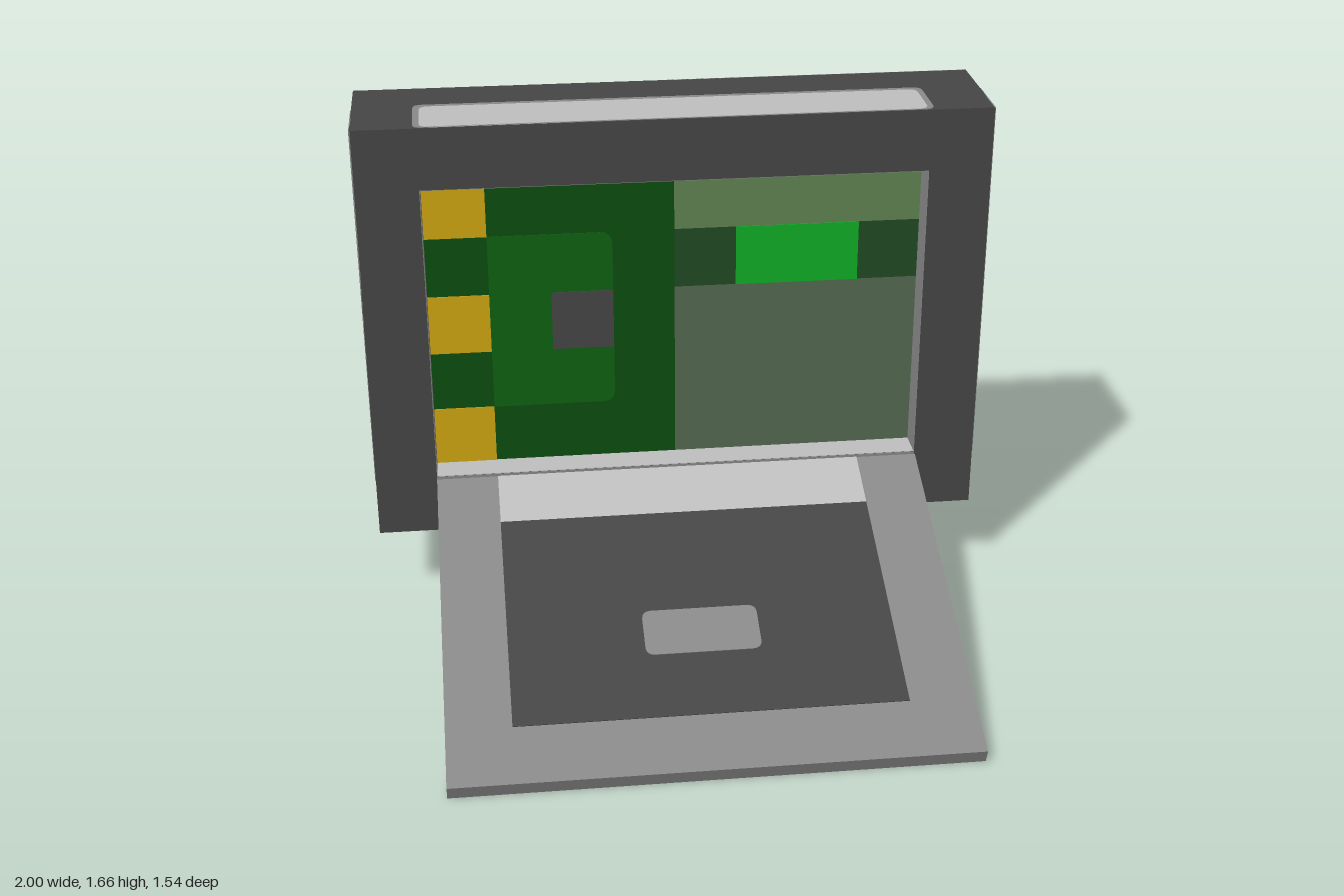
import * as THREE from 'three';

const paint = (name, color) => {
  const m = new THREE.MeshStandardMaterial({ color });
  m.name = name;
  return m;
};

export function createModel() {
  const dark = paint('dark grey', 0x464646);
  const mid = paint('mid grey', 0x8a8a8a);
  const light = paint('light grey', 0xbfbfbf);
  const boardGreen = paint('board green', 0x0e4e10);
  const chipGreen = paint('chip green', 0x0e6311);
  const gold = paint('gold', 0xd0a812);
  const paleGreen = paint('pale green', 0x608552);
  const greyGreen = paint('grey green', 0x546a51);
  const deepGreen = paint('deep green', 0x214c25);
  const brightGreen = paint('bright green', 0x10b026);

  const model = new THREE.Group();
  model.name = 'deviceWithOpenHatch';

  const add = (parent, name, geometry, material) => {
    const mesh = new THREE.Mesh(geometry, material);
    mesh.name = name;
    parent.add(mesh);
    return mesh;
  };

  const box = (parent, name, material, w, h, d, x, y, z) => {
    const mesh = add(parent, name, new THREE.BoxGeometry(w, h, d), material);
    mesh.position.set(x, y, z);
    return mesh;
  };

  // Thin plate in local x/y facing +z; r = corner radii [bottom left, bottom right, top right, top left]
  const plate = (parent, name, material, x0, y0, x1, y1, r = [0, 0, 0, 0]) => {
    const s = new THREE.Shape();
    s.moveTo(x0 + r[0], y0);
    s.lineTo(x1 - r[1], y0);
    if (r[1]) s.quadraticCurveTo(x1, y0, x1, y0 + r[1]);
    s.lineTo(x1, y1 - r[2]);
    if (r[2]) s.quadraticCurveTo(x1, y1, x1 - r[2], y1);
    s.lineTo(x0 + r[3], y1);
    if (r[3]) s.quadraticCurveTo(x0, y1, x0, y1 - r[3]);
    s.lineTo(x0, y0 + r[0]);
    if (r[0]) s.quadraticCurveTo(x0, y0, x0 + r[0], y0);
    const geometry = new THREE.ExtrudeGeometry(s, { depth: 0.004, bevelEnabled: false, curveSegments: 4 });
    return add(parent, name, geometry, material);
  };

  // Housing: solid back and a front frame with the window opening
  box(model, 'housingBack', dark, 2, 1.4, 0.3, 0, 0.96, -0.62);
  const frame = new THREE.Shape([[-1, 0.26], [1, 0.26], [1, 1.66], [-1, 1.66]].map(p => new THREE.Vector2(...p)));
  frame.holes.push(new THREE.Path([[-0.8, 0.46], [-0.8, 1.46], [0.8, 1.46], [0.8, 0.46]].map(p => new THREE.Vector2(...p))));
  add(model, 'frontFrame', new THREE.ExtrudeGeometry(frame, { depth: 0.1, bevelEnabled: false }), dark).position.z = -0.47;

  // Lining of the window recess
  const floor = plate(model, 'recessFloor', light, -0.8, 0.371, 0.8, 0.47);
  floor.rotation.x = -Math.PI / 2;
  floor.position.y = 0.458;
  const ceiling = plate(model, 'recessCeiling', mid, -0.8, -0.47, 0.8, -0.371);
  ceiling.rotation.x = Math.PI / 2;
  ceiling.position.y = 1.462;
  for (const side of [-1, 1]) {
    box(model, 'recessSide', mid, 0.004, 1, 0.099, side * 0.8, 0.96, -0.4205);
  }

  // Circuit board tiles: x0, y0, x1, y1, layer, corner radii
  const board = new THREE.Group();
  board.name = 'circuitBoard';
  board.position.z = -0.472;
  model.add(board);
  const tiles = [
    ['boardBase', boardGreen, -0.8, 0.46, 0, 1.46, 0],
    ['chipArea', chipGreen, -0.6, 0.66, -0.2, 1.26, 1, [0, 0.04, 0.04, 0]],
    ['chip', dark, -0.4, 0.86, -0.2, 1.06, 2],
    ['screenTop', paleGreen, 0, 1.26, 0.8, 1.46, 0],
    ['screenBand', deepGreen, 0, 1.06, 0.8, 1.26, 0],
    ['screenBottom', greyGreen, 0, 0.46, 0.8, 1.06, 0],
    ['indicator', brightGreen, 0.2, 1.06, 0.6, 1.26, 1],
  ];
  for (const y of [0.46, 0.86, 1.26]) tiles.push(['contact', gold, -0.8, y, -0.6, y + 0.2, 1]);
  for (const [name, material, x0, y0, x1, y1, layer, r] of tiles) {
    plate(board, name, material, x0, y0, x1, y1, r).position.z = layer * 0.003;
  }

  // Panels on the outside of the housing
  const R = 0.03;
  const back = plate(model, 'backPanel', mid, -1, 0.46, 0, 1.66, [0, R, 0, 0]);
  back.rotation.y = Math.PI;
  back.position.z = -0.768;
  const leftPanel = plate(model, 'leftSidePanel', mid, 0.37, 0.455, 0.57, 1.66, [0, R, 0, 0]);
  leftPanel.rotation.y = Math.PI / 2;
  leftPanel.position.x = 0.998;
  const rightPanel = plate(model, 'rightSidePanel', mid, -0.57, 0.455, -0.37, 1.66, [R, 0, 0, 0]);
  rightPanel.rotation.y = -Math.PI / 2;
  rightPanel.position.x = -0.998;
  const topBorder = plate(model, 'topBorder', mid, -0.81, 0.375, 0.81, 0.595, [R, R, R, R]);
  topBorder.rotation.x = -Math.PI / 2;
  topBorder.position.y = 1.658;
  const topPanel = plate(model, 'topPanel', light, -0.79, 0.375, 0.79, 0.57, [R, R, R, R]);
  topPanel.rotation.x = -Math.PI / 2;
  topPanel.position.y = 1.66;
  plate(model, 'hingePanel', mid, -0.8, 0.26, 0.8, 0.46).position.z = -0.372;

  // Open hatch sloping down to the ground
  const hatch = new THREE.Group();
  hatch.name = 'hatch';
  hatch.position.set(0, 0.229, 0.2);
  hatch.rotation.x = THREE.MathUtils.degToRad(20);
  model.add(hatch);
  box(hatch, 'hatchSlab', mid, 1.6, 0.05, 1.2, 0, 0, 0);
  for (const side of [1, -1]) {
    const face = new THREE.Group();
    face.name = side > 0 ? 'hatchInside' : 'hatchOutside';
    face.rotation.x = -side * Math.PI / 2;
    face.position.y = side * 0.023;
    hatch.add(face);
    plate(face, 'hatchPanel', dark, -0.6, -0.4, 0.6, 0.4);
    plate(face, 'hingeStrip', light, -0.6, side > 0 ? 0.4 : -0.6, 0.6, side > 0 ? 0.6 : -0.4);
    if (side > 0) plate(face, 'handlePatch', mid, -0.18, -0.17, 0.18, 0, [R, R, R, R]).position.z = 0.002;
  }

  // Two-tone handle block below the hatch
  box(hatch, 'handleFront', mid, 0.4, 0.032, 0.2, 0, -0.041, 0.1);
  box(hatch, 'handleBack', dark, 0.4, 0.032, 0.2, 0, -0.041, -0.1);

  return model;
}
